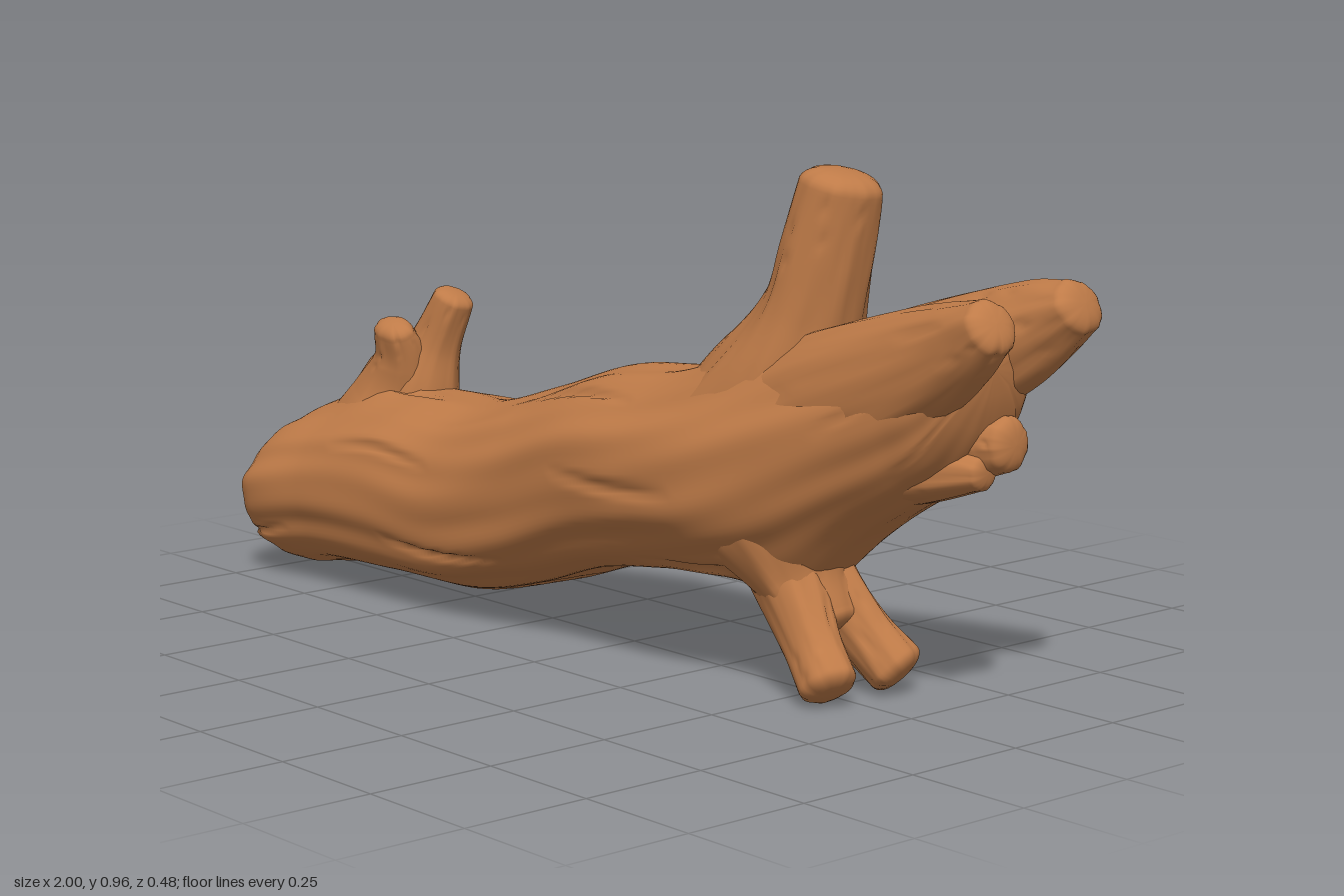
import * as THREE from 'three';

const SEG = 120;
const spow = (v, p) => Math.sign(v) * Math.abs(v) ** p;
const bell = (v, w) => Math.exp(-((v / w) ** 2));

// Smooth interpolation through rows of numbers, keyed by `keys`
function spline(keys, rows) {
  const f = new THREE.CubicInterpolant(keys, rows.flat(), rows[0].length);
  return t => Array.from(f.evaluate(t));
}

// Long wavy ridges with narrow crevices, running along the grain
function bark(a, u) {
  const wave = 0.45 * Math.sin(5 * a + 1.8 * Math.sin(1.9 * u))
    + 0.4 * Math.sin(9 * a - 2 * Math.sin(2 * u + 1))
    + 0.25 * Math.sin(16 * a + 2.4 * Math.sin(2.2 * u + 2));
  const crack = Math.max(0, Math.sin(7 * a + 2.2 * Math.sin(1.6 * u + 0.6))) ** 30
    * Math.max(0, Math.sin(5 * u + 2 * Math.sin(a)));
  return wave - 1.8 * crack;
}

// Joins closed rings of points into one smooth surface, leaving out buried faces
function skin(rings, buried = () => false) {
  const n = rings[0].length, pos = [], idx = [];
  rings.forEach(r => r.forEach(p => pos.push(p.x, p.y, p.z)));
  for (let i = 0; i < rings.length - 1; i++) {
    for (let j = 0; j < n; j++) {
      if (buried(rings[i][j]) && buried(rings[i + 1][j])) continue;
      const a = i * n + j, c = i * n + (j + 1) % n;
      idx.push(a, a + n, c, c, a + n, c + n);
    }
  }
  const g = new THREE.BufferGeometry();
  g.setAttribute('position', new THREE.Float32BufferAttribute(pos, 3));
  g.setIndex(idx);
  g.computeVertexNormals();
  return g;
}

// Trunk outlines: x, bottom, top, back, front
const TRUNK = [
  [-1, 0.02, 0.31, -0.215, 0.225],
  [-0.97, 0.012, 0.33, -0.22, 0.235],
  [-0.8, 0.03, 0.37, -0.215, 0.23],
  [-0.6, 0.033, 0.41, -0.21, 0.225],
  [-0.4, 0.038, 0.42, -0.212, 0.218],
  [-0.2, 0.085, 0.475, -0.215, 0.212],
  [0, 0.15, 0.54, -0.218, 0.212],
  [0.2, 0.183, 0.565, -0.222, 0.215],
  [0.35, 0.195, 0.6, -0.237, 0.205],
  [0.5, 0.245, 0.645, -0.23, 0.165],
  [0.65, 0.33, 0.685, -0.22, 0.125],
  [0.75, 0.395, 0.71, -0.21, 0.1],
  [0.82, 0.46, 0.715, -0.195, 0.08],
  [0.86, 0.53, 0.705, -0.165, 0.05],
  [0.88, 0.59, 0.685, -0.11, 0],
];
const trunkAt = spline(TRUNK.map(r => r[0]), TRUNK.map(r => r.slice(1)));

// True for points well inside the trunk
function insideTrunk(p) {
  if (p.x < -0.98 || p.x > 0.86) return false;
  const [b, t, k, f] = trunkAt(p.x);
  return Math.hypot((2 * p.y - b - t) / (t - b), (2 * p.z - k - f) / (f - k)) < 0.84;
}

// Swellings that carry the trunk up into its limbs: x, z, length, width, height (negative = underside)
const SWELLS = [
  [0.43, -0.01, 0.12, 0.12, 0.06],
  [0.47, -0.02, 0.1, 0.13, -0.055],
  [-0.77, -0.01, 0.1, 0.1, 0.05],
  [0.78, -0.16, 0.16, 0.06, 0.03],
  [0.78, 0.045, 0.16, 0.05, 0.02],
];

function trunkRing(x) {
  const [b, t, k, f] = trunkAt(x);
  return Array.from({ length: SEG }, (_, j) => {
    const a = j / SEG * Math.PI * 2;
    const s = 1 + 0.033 * bark(a, x * 2);
    const p = new THREE.Vector3(x,
      (b + t) / 2 + (t - b) / 2 * spow(Math.sin(a), 0.9) * s,
      (k + f) / 2 + (f - k) / 2 * spow(Math.cos(a), 0.9) * s);
    for (const [sx, sz, wx, wz, h] of SWELLS) {
      p.y += h * bell(x - sx, wx) * bell(p.z - sz, wz) * Math.max(0, Math.sin(a) * Math.sign(h));
    }
    // Knot hollow with a raised rim on the back
    if (p.z < -0.05) {
      const d = Math.hypot((x + 0.1) / 0.07, (p.y - 0.4) / 0.04);
      p.z += 0.045 * bell(d, 0.6) - 0.016 * bell(d - 1.1, 0.4);
    }
    return p;
  });
}

function trunkGeometry() {
  const rings = [];
  for (let i = 0; i <= 190; i++) rings.push(trunkRing(-1 + 1.88 * i / 190));
  rings.push(rings[0].map(() => new THREE.Vector3(0.886, 0.638, -0.055)));
  return skin(rings);
}

// Sawn end with engraved growth rings
function cutGeometry() {
  const edge = trunkRing(-1), c = new THREE.Vector3(-1, 0.17, 0);
  const rings = [];
  for (let i = 0; i <= 40; i++) {
    const s = i / 40;
    rings.push(edge.map(p => {
      const q = c.clone().lerp(p, s);
      q.x += 0.005 * (1 - s) * (1 - Math.cos(s * Math.PI * 10));
      return q;
    }));
  }
  return skin(rings);
}

// Limb rows: x, y, z, radius in the bending plane, radius across it
function limbGeometry(rows, seed) {
  const n = rows.length - 1, at = spline(rows.map((_, i) => i), rows);
  const rings = [], steps = 48, segs = 48;
  const add = (t, push, shrink) => {
    const [x, y, z, r, w] = at(t);
    const p = at(Math.max(0, t - 0.02)), q = at(Math.min(n, t + 0.02));
    const dir = new THREE.Vector3(q[0] - p[0], q[1] - p[1], q[2] - p[2]).normalize();
    const side = new THREE.Vector3(0, 0, 1).addScaledVector(dir, -dir.z).normalize();
    const up = side.clone().cross(dir);
    const c = new THREE.Vector3(x, y, z).addScaledVector(dir, push * r);
    rings.push(Array.from({ length: segs }, (_, j) => {
      const a = j / segs * Math.PI * 2;
      const s = shrink * (1 + 0.045 * bark(a, t * 0.5 + seed));
      return c.clone().addScaledVector(up, r * s * Math.sin(a))
        .addScaledVector(side, w * s * Math.cos(a));
    }));
  };
  for (let i = 0; i <= steps; i++) add(n * i / steps, 0, 1);
  // Blunt worn tip
  for (let i = 1; i <= 8; i++) {
    const a = i / 8 * Math.PI / 2;
    add(n, 0.45 * Math.sin(a), i === 8 ? 0 : Math.cos(a) ** 0.75);
  }
  return skin(rings, insideTrunk);
}

const LIMBS = {
  upperBranch: [
    [0.32, 0.44, -0.01, 0.16, 0.18], [0.425, 0.58, -0.01, 0.132, 0.14],
    [0.48, 0.7, -0.01, 0.09, 0.1], [0.508, 0.81, -0.015, 0.081, 0.088],
    [0.535, 0.925, -0.022, 0.073, 0.078],
  ],
  frontProng: [
    [0.4, 0.48, 0.04, 0.12, 0.1], [0.6, 0.56, 0.038, 0.125, 0.09],
    [0.8, 0.645, 0.036, 0.1, 0.07], [0.9, 0.692, 0.043, 0.076, 0.057],
    [0.965, 0.728, 0.048, 0.051, 0.052],
  ],
  backProng: [
    [0.4, 0.48, -0.12, 0.12, 0.1], [0.6, 0.57, -0.13, 0.125, 0.092],
    [0.8, 0.66, -0.15, 0.102, 0.08], [0.9, 0.711, -0.165, 0.078, 0.067],
    [0.96, 0.742, -0.174, 0.051, 0.062],
  ],
  endKnob: [
    [0.65, 0.49, -0.07, 0.12, 0.12], [0.74, 0.492, -0.085, 0.09, 0.095],
    [0.82, 0.495, -0.1, 0.064, 0.064], [0.868, 0.498, -0.105, 0.05, 0.052],
  ],
  endSpur: [
    [0.65, 0.46, -0.03, 0.1, 0.11], [0.74, 0.45, -0.045, 0.07, 0.08],
    [0.845, 0.45, -0.068, 0.034, 0.042],
  ],
  lowerStem: [
    [0.36, 0.37, -0.01, 0.2, 0.19], [0.425, 0.28, -0.01, 0.14, 0.15],
    [0.475, 0.2, -0.01, 0.08, 0.1], [0.52, 0.135, -0.015, 0.055, 0.075],
  ],
  lowerFrontFoot: [
    [0.45, 0.22, 0.026, 0.08, 0.06], [0.49, 0.17, 0.032, 0.07, 0.056],
    [0.545, 0.1, 0.045, 0.057, 0.05], [0.594, 0.044, 0.056, 0.055, 0.053],
  ],
  lowerBackFoot: [
    [0.45, 0.22, -0.045, 0.08, 0.06], [0.49, 0.17, -0.056, 0.07, 0.056],
    [0.55, 0.105, -0.08, 0.057, 0.05], [0.605, 0.05, -0.102, 0.055, 0.055],
  ],
  twigFront: [
    [-0.8, 0.27, 0, 0.15, 0.14], [-0.755, 0.39, 0, 0.098, 0.09],
    [-0.718, 0.47, 0.018, 0.064, 0.055], [-0.705, 0.53, 0.045, 0.05, 0.036],
  ],
  twigBack: [
    [-0.78, 0.27, -0.02, 0.15, 0.14], [-0.715, 0.4, -0.025, 0.095, 0.085],
    [-0.675, 0.5, -0.038, 0.058, 0.052], [-0.63, 0.595, -0.05, 0.043, 0.042],
  ],
};

export function createModel() {
  const wood = new THREE.MeshStandardMaterial({ color: 0xbf7b48 });
  wood.name = 'wood';
  const model = new THREE.Group();
  model.name = 'fallenLog';
  const add = (name, geometry) => {
    const mesh = new THREE.Mesh(geometry, wood);
    mesh.name = name;
    model.add(mesh);
  };
  add('trunk', trunkGeometry());
  add('sawnEnd', cutGeometry());
  Object.entries(LIMBS).forEach(([name, rows], i) => add(name, limbGeometry(rows, i * 1.3)));
  return model;
}
